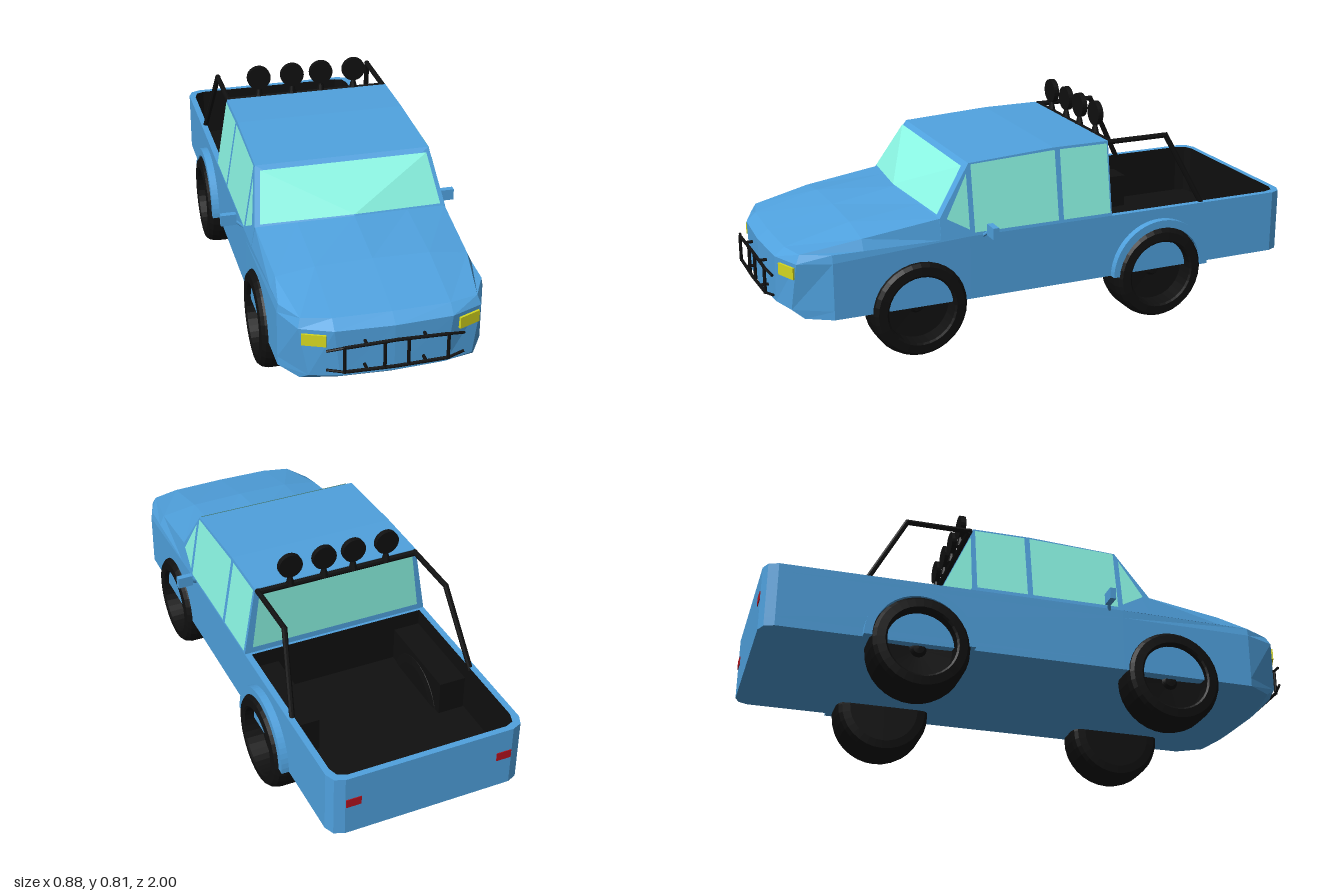
import * as THREE from 'three';
import { ConvexGeometry } from 'three/addons/geometries/ConvexGeometry.js';

const mat = (color, side = THREE.FrontSide) => {
  const m = new THREE.MeshStandardMaterial({ side, flatShading: true });
  m.color.set(color);
  return m;
};
const V = (x, y, z) => new THREE.Vector3(x, y, z);

export function createModel() {
  const model = new THREE.Group();
  const paint = mat(0x50a2df), skin = mat(0x50a2df, THREE.DoubleSide);
  const black = mat(0x101010), liner = mat(0x101010, THREE.DoubleSide);
  const glass = mat(0x8af5e3, THREE.DoubleSide);
  const yellow = mat(0xd6d820), red = mat(0xb5121f);

  const add = (name, geo, material, x = 0, y = 0, z = 0) => {
    const m = new THREE.Mesh(geo, material);
    m.name = name;
    m.position.set(x, y, z);
    model.add(m);
    return m;
  };
  // Surface through rows of points
  const loft = (rows) => {
    const n = rows[0].length, idx = [];
    for (let r = 0; r < rows.length - 1; r++)
      for (let i = 0; i < n - 1; i++) {
        const a = r * n + i, c = a + n;
        idx.push(a, c, a + 1, a + 1, c, c + 1);
      }
    const g = new THREE.BufferGeometry();
    g.setAttribute('position', new THREE.Float32BufferAttribute(rows.flat(2), 3));
    g.setIndex(idx);
    const flat = g.toNonIndexed();
    flat.computeVertexNormals();
    return flat;
  };
  // Fan over a simple polygon of points
  const panel = (pts) => {
    const pos = [];
    for (let i = 1; i < pts.length - 1; i++) pos.push(...pts[0], ...pts[i], ...pts[i + 1]);
    const g = new THREE.BufferGeometry();
    g.setAttribute('position', new THREE.Float32BufferAttribute(pos, 3));
    g.computeVertexNormals();
    return g;
  };
  // Round bar between two points
  const bar = (name, a, b, r, material = black) => {
    const d = b.clone().sub(a);
    const m = add(name, new THREE.CylinderGeometry(r, r, d.length() + r, 8), material);
    m.position.copy(a).add(b).multiplyScalar(0.5);
    m.quaternion.setFromUnitVectors(V(0, 1, 0), d.normalize());
  };
  // Flat horizontal shape from (x, z) points, facing up
  const flatShape = (pts, hole) => {
    const s = new THREE.Shape(pts.map(([x, z]) => new THREE.Vector2(x, -z)));
    if (hole) s.holes.push(new THREE.Path(hole.map(([x, z]) => new THREE.Vector2(x, -z))));
    return new THREE.ShapeGeometry(s).rotateX(-Math.PI / 2);
  };
  const mirrorRing = (half) => [...half, ...half.slice().reverse().map(([x, z]) => [-x, z])];

  // Lower body: horizontal outlines stacked upward
  const rear = [[0, -1], [0.31, -1], [0.345, -0.985], [0.36, -0.95], [0.36, 0.3]];
  const noses = [
    [0.185, [[0.355, 0.8], [0.3, 0.89], [0.18, 0.915], [0, 0.925]]],
    [0.217, [[0.355, 0.8], [0.28, 0.93], [0.18, 0.958], [0, 0.968]]],
    [0.39, [[0.355, 0.8], [0.31, 0.915], [0.2, 0.96], [0, 0.97]]],
    [0.42, [[0.35, 0.8], [0.3, 0.9], [0.2, 0.925], [0, 0.93]]],
  ];
  const rings = noses.map(([y, nose]) =>
    mirrorRing([...rear, ...nose]).map(([x, z]) => [x, y, z]));
  add('lowerBody', loft(rings), skin);
  add('underside', flatShape(mirrorRing([...rear, ...noses[0][1]])), skin, 0, 0.185);

  // Hood: cross-sections from windshield to nose
  const hoodRows = [
    [[0, 0.52, 0.455], [0.2, 0.507, 0.43], [0.345, 0.495, 0.41], [0.359, 0.42, 0.41]],
    [[0, 0.482, 0.69], [0.2, 0.478, 0.69], [0.335, 0.458, 0.69], [0.353, 0.42, 0.69]],
    [[0, 0.42, 0.93], [0.2, 0.42, 0.925], [0.3, 0.42, 0.9], [0.35, 0.42, 0.8]],
  ].map((h) => [...h.slice(1).reverse().map(([x, y, z]) => [-x, y, z]), ...h]);
  add('hood', loft(hoodRows), skin);

  // Cabin with slanted sides
  const sideX = (y) => 0.36 - (y - 0.42) * 0.1667;
  const hull = [V(0, 0.52, 0.455)];
  for (const s of [1, -1])
    for (const [y, z] of [[0.42, 0.41], [0.495, 0.41], [0.674, 0.29], [0.692, -0.04], [0.692, -0.257], [0.42, -0.257]])
      hull.push(V(s * sideX(y), y, z));
  add('cabin', new ConvexGeometry(hull), paint);

  // Windows
  add('windshield', panel([
    [0, 0.528, 0.458], [0.328, 0.506, 0.413], [0.303, 0.663, 0.311],
    [-0.303, 0.663, 0.311], [-0.328, 0.506, 0.413],
  ]), glass);
  add('rearWindow', panel([
    [0.33, 0.445, -0.261], [-0.33, 0.445, -0.261], [-0.3, 0.668, -0.261], [0.3, 0.668, -0.261],
  ]), glass);
  const sideGlass = {
    ventWindow: [[0.445, 0.302], [0.492, 0.385], [0.64, 0.302]],
    frontDoorWindow: [[0.432, 0.283], [0.67, 0.283], [0.684, -0.042], [0.432, -0.042]],
    rearDoorWindow: [[0.432, -0.062], [0.684, -0.062], [0.684, -0.25], [0.432, -0.25]],
  };
  for (const s of [1, -1])
    for (const [name, pts] of Object.entries(sideGlass)) {
      const p = pts.map(([y, z]) => [s * (sideX(y) + 0.003), y, z]);
      add(name, panel(s > 0 ? p : p.reverse()), glass);
    }

  // Open cargo bed: painted rim, black walls and floor
  const bedOuter = mirrorRing([...rear.slice(1, 4), [0.36, -0.25]]);
  const bedInner = mirrorRing([[0.295, -0.978], [0.325, -0.965], [0.337, -0.93], [0.337, -0.268]]);
  add('bedRim', flatShape(bedOuter, bedInner), skin, 0, 0.42);
  const wall = [...bedInner, bedInner[0]];
  add('bedWalls', loft([0.23, 0.42].map((y) => wall.map(([x, z]) => [x, y, z]))), liner);
  add('bedFloor', flatShape(bedInner), liner, 0, 0.23);

  // Wheels: rubber ring with a recessed hub
  const wheel = (width) => new THREE.LatheGeometry([
    [0, 0], [0.13, 0], [0.16, 0.02], [0.172, 0.1], [0.178, 0.25], [0.178, 0.75], [0.172, 0.9], [0.16, 0.98],
    [0.13, 1], [0.123, 0.97], [0.12, 0.6], [0.03, 0.57], [0.02, 0.65], [0, 0.66],
  ].map(([r, t]) => new THREE.Vector2(r, t * width)), 32);
  const arch = new THREE.Shape();
  arch.absarc(0, 0, 0.197, 0, Math.PI, false);
  arch.absarc(0, 0, 0.168, Math.PI, 0, true);
  const fender = new THREE.ExtrudeGeometry(arch, { depth: 0.037, bevelEnabled: false, curveSegments: 16 })
    .rotateY(Math.PI / 2);

  for (const s of [1, -1]) {
    add('frontWheel', wheel(0.15), black, s * 0.23, 0.178, 0.49).rotation.z = -s * Math.PI / 2;
    add('rearWheel', wheel(0.17), black, s * 0.23, 0.178, -0.45).rotation.z = -s * Math.PI / 2;
    add('rearFender', fender, paint, s > 0 ? 0.35 : -0.387, 0.185, -0.455);
    add('wheelWell', new THREE.BoxGeometry(0.1, 0.13, 0.36), black, s * 0.285, 0.295, -0.45);

    // Lamps
    add('headlight', new THREE.BoxGeometry(0.082, 0.042, 0.02), yellow, s * 0.261, 0.354, 0.932)
      .rotation.y = s * 0.39;
    add('tailLight', new THREE.BoxGeometry(0.055, 0.032, 0.008), red, s * 0.28, 0.315, -0.999);

    // Door mirrors
    add('mirror', new THREE.BoxGeometry(0.057, 0.042, 0.022), paint, s * 0.409, 0.444, 0.235);
    bar('mirrorArm', V(s * 0.355, 0.415, 0.25), V(s * 0.388, 0.44, 0.237), 0.006, paint);

    // Roll bar sides
    const bend = V(s * 0.307, 0.685, -0.5);
    bar('rollBarTop', V(s * 0.307, 0.685, -0.265), bend, 0.01);
    bar('rollBarLeg', bend, V(s * 0.343, 0.41, -0.645), 0.01);

    // Roof spotlights
    for (const x of [0.057, 0.187]) {
      add('spotlight', new THREE.CylinderGeometry(0.045, 0.045, 0.02, 24), black, s * x, 0.765, -0.27)
        .rotation.x = Math.PI / 2;
      add('spotlightFoot', new THREE.CylinderGeometry(0.006, 0.017, 0.045, 8), black, s * x, 0.707, -0.27);
    }

    // Grille guard half
    for (const [y, mid, tip] of [[0.345, 0.351, 0.334], [0.253, 0.25, 0.262]]) {
      bar('guardRail', V(0, mid, 0.994), V(s * 0.175, y, 0.992), 0.006);
      bar('guardRailEnd', V(s * 0.175, y, 0.992), V(s * 0.23, tip, 0.98), 0.005);
      bar('guardMount', V(s * 0.1, y, 0.955), V(s * 0.1, y, 0.99), 0.006);
    }
    for (const x of [0.04, 0.175])
      bar('guardUpright', V(s * x, 0.253, 0.993), V(s * x, 0.346, 0.993), 0.006);
  }
  bar('rollBarCross', V(-0.307, 0.684, -0.268), V(0.307, 0.684, -0.268), 0.011);

  return model;
}
